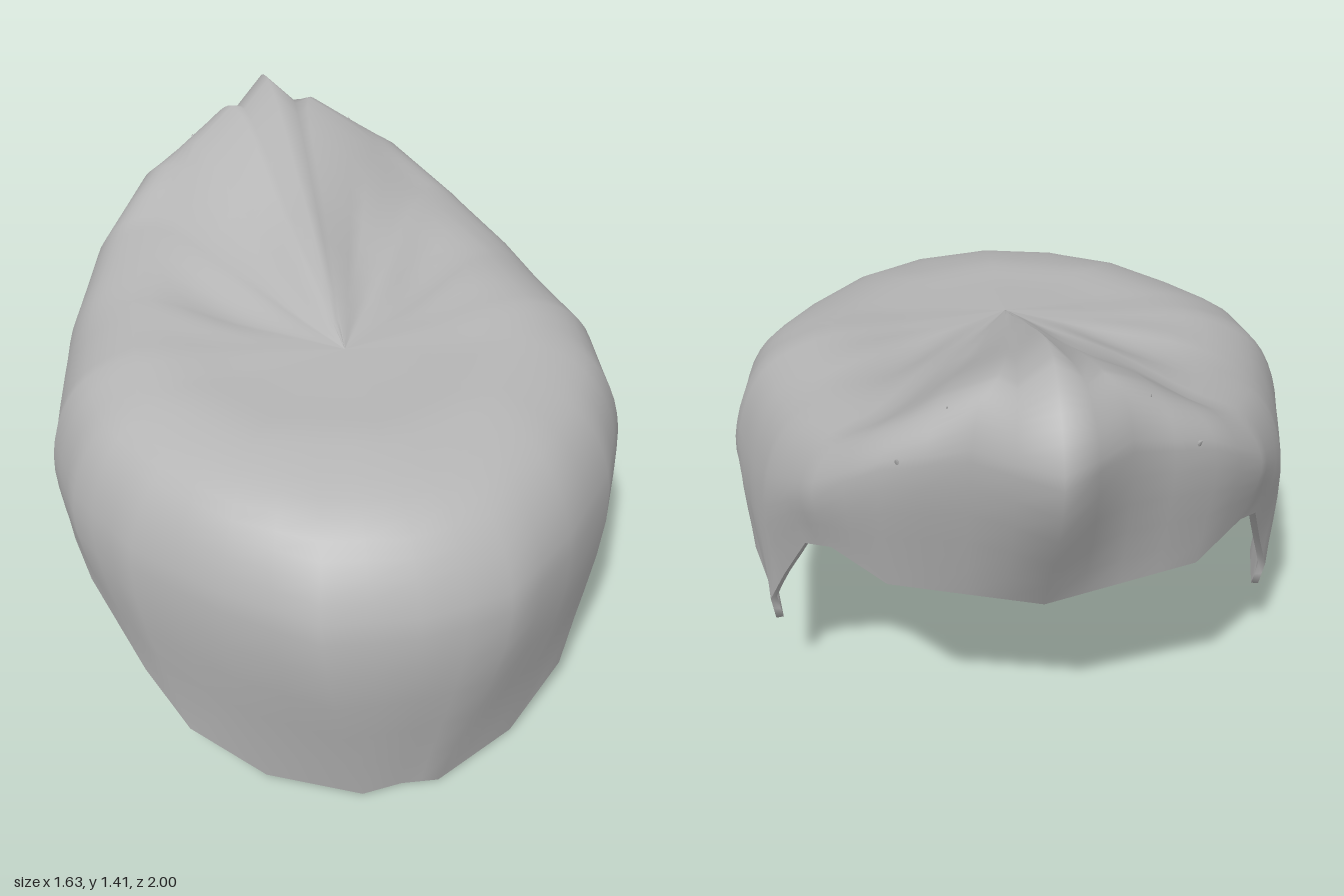
import * as THREE from 'three';

// Guide lines round the left half, front to back: station, x, y, z
const RIM = [
  [0, 0, .02, .87], [1, .11, 0, .865], [2, .36, .02, .75], [3, .55, .12, .62],
  [4, .65, .27, .51], [5, .76, .45, .3], [6, .785, .47, .14], [7, .78, .42, -.04],
  [8, .745, .32, -.1], [9, .73, .265, -.19], [10, .74, .35, -.21], [11, .69, .5, -.3],
  [12, .62, .71, -.46], [13, .55, .76, -.56], [14, .41, .7, -.66], [16, 0, .62, -.69],
];
const WIDEST = [
  [0, 0, .69, .995], [1, .25, .69, .96], [2, .47, .7, .79], [3, .67, .7, .56],
  [4.5, .79, .72, .32], [6, .815, .74, .08], [9, .765, .73, -.17], [11, .72, .8, -.32],
  [13, .59, .95, -.58], [14, .42, 1.1, -.74], [15, .2, 1.15, -.81], [16, 0, 1.17, -1],
];
const CROWN_EDGE = [
  [0, 0, 1.02, .62], [2, .33, 1.02, .52], [4, .53, 1.03, .28], [6, .57, 1.05, .1],
  [10, .53, 1.06, -.2], [13, .4, 1.12, -.52], [14.5, .25, 1.27, -.67],
  [15, .12, 1.35, -.74], [15.5, .08, 1.33, -.75], [16, 0, 1.41, -.77],
];
const CROWN = new THREE.Vector3(0, 1.045, .2);
const ROWS = 25, HALF = 32;

// Point on a guide line at station k
function along(guide, k) {
  const i = Math.max(1, guide.findIndex(g => g[0] >= k));
  const a = guide[i - 1], b = guide[i], t = (k - a[0]) / (b[0] - a[0]);
  return new THREE.Vector3(...a.slice(1)).lerp(new THREE.Vector3(...b.slice(1)), t);
}

// Smooth strand line running from the rim over the shoulder to the crown
function strandLine(k, mirror) {
  const rim = along(RIM, k), wide = along(WIDEST, k), edge = along(CROWN_EDGE, k);
  const shoulder = wide.clone().lerp(edge, .33);
  shoulder.y = THREE.MathUtils.lerp(wide.y, edge.y, .7);
  const pts = [rim, wide, shoulder, edge, edge.clone().lerp(CROWN, .5), CROWN.clone()];
  pts.forEach(p => { p.x *= mirror; });
  const line = new THREE.CatmullRomCurve3(pts).getPoints(ROWS);
  // Combed grooves on the rear of the crown
  line.forEach((p, i) => {
    const t = i / ROWS;
    if (t > .62 && p.z < .1) {
      const fade = Math.sin((t - .62) / .38 * Math.PI) * Math.min(1, (.1 - p.z) * 3);
      p.y += .02 * fade * Math.cos(Math.atan2(p.x, .3 - p.z) * 14);
    }
  });
  return line;
}

// Surface from a closed ring of point columns
function surface(columns, flip) {
  const pos = [], index = [], n = columns.length, m = columns[0].length;
  columns.forEach(c => c.forEach(p => pos.push(p.x, p.y, p.z)));
  for (let j = 0; j < n; j++) {
    for (let i = 0; i < m - 1; i++) {
      const a = j * m + i, b = ((j + 1) % n) * m + i;
      if (flip) index.push(a, b + 1, b, a, a + 1, b + 1);
      else index.push(a, b, b + 1, a, b + 1, a + 1);
    }
  }
  const g = new THREE.BufferGeometry();
  g.setAttribute('position', new THREE.Float32BufferAttribute(pos, 3));
  g.setIndex(index);
  g.computeVertexNormals();
  return g;
}

export function createModel() {
  const group = new THREE.Group();
  group.name = 'hair';
  const grey = new THREE.MeshStandardMaterial({ color: 0xb4b4b4 });
  grey.name = 'hair grey';
  const add = (name, geometry) => {
    const mesh = new THREE.Mesh(geometry, grey);
    mesh.name = name;
    group.add(mesh);
    return mesh;
  };

  // Outer hair, left half then mirrored right half
  const outer = [];
  for (let i = 0; i <= HALF; i++) outer.push(strandLine(i / 2, 1));
  for (let i = HALF - 1; i > 0; i--) outer.push(strandLine(i / 2, -1));
  const outerGeo = add('outerHair', surface(outer, false)).geometry;

  // Lining, set in from the outer hair along its normals
  const normals = outerGeo.attributes.normal;
  const inner = outer.map((c, j) => c.map((p, i) => {
    if (i === ROWS) return p.clone().setY(p.y - .022);
    const n = new THREE.Vector3().fromBufferAttribute(normals, j * (ROWS + 1) + i);
    return p.clone().addScaledVector(n, -.022);
  }));
  add('lining', surface(inner, true));

  // Rim closing the edge between hair and lining
  add('rim', surface(outer.map((c, j) => [inner[j][0], c[0]]), false));

  // Pointed tufts along the back of the crest
  const tuft = (tip, base, radius) => {
    const a = new THREE.Vector3(...base), b = new THREE.Vector3(...tip);
    const dir = b.clone().sub(a);
    const mesh = add('tuft', new THREE.ConeGeometry(radius, dir.length(), 8));
    mesh.position.copy(a).addScaledVector(dir, .5);
    mesh.quaternion.setFromUnitVectors(new THREE.Vector3(0, 1, 0), dir.normalize());
  };
  for (const s of [-1, 1]) {
    tuft([.25 * s, 1.27, -.74], [.22 * s, 1.13, -.68], .06);
    tuft([.38 * s, 1.14, -.76], [.34 * s, 1.05, -.68], .05);
  }
  return group;
}
